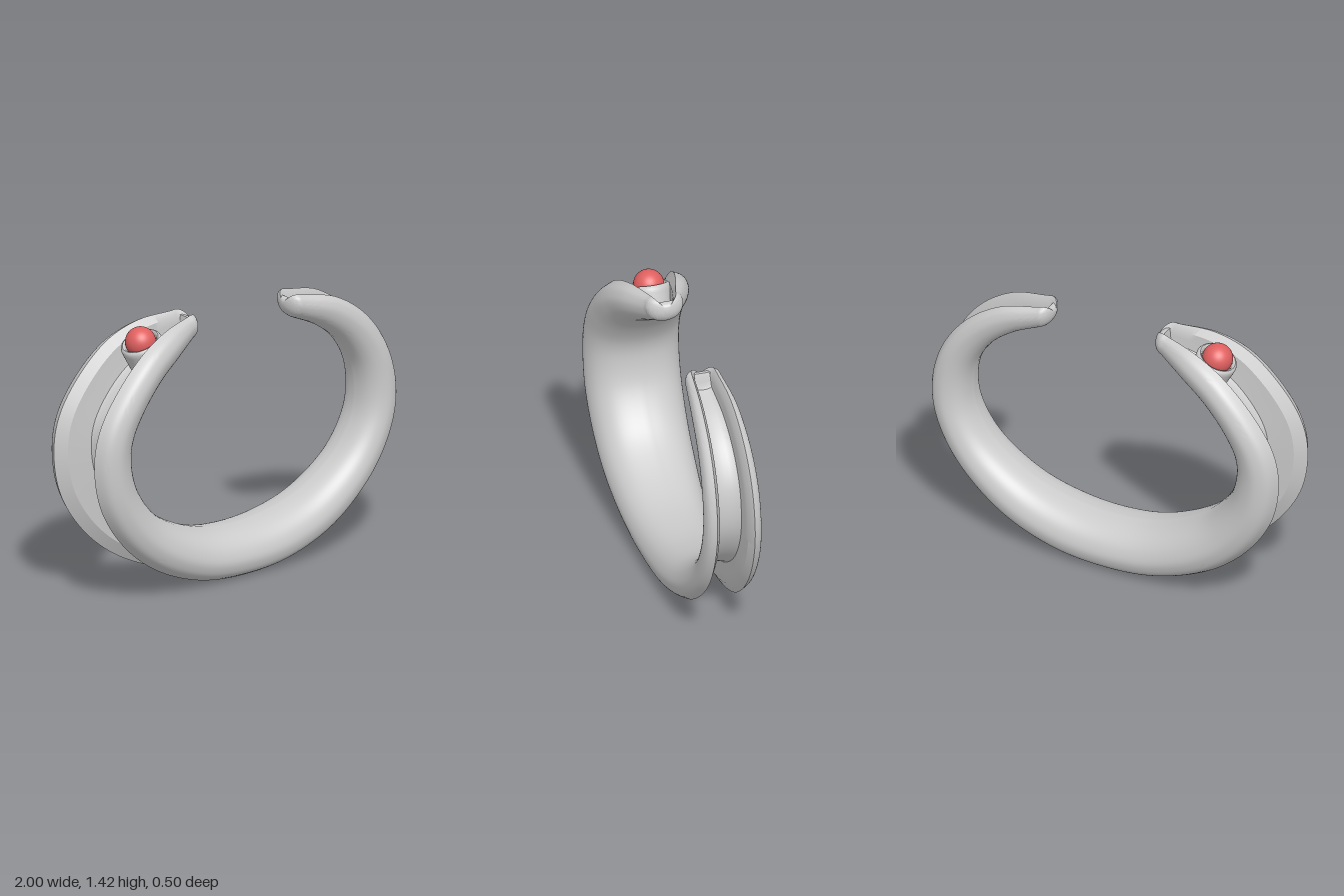
import * as THREE from 'three';
import { toCreasedNormals } from 'three/addons/utils/BufferGeometryUtils.js';

// Stations along the band: outer x, y, inner x, y, half width
const STATIONS = [
  [-0.31, 1.42, -0.28, 1.28, 0.10], [-0.50, 1.39, -0.42, 1.20, 0.18],
  [-0.67, 1.31, -0.56, 1.10, 0.225], [-0.85, 1.14, -0.66, 0.98, 0.245],
  [-0.965, 0.96, -0.715, 0.87, 0.25], [-1.00, 0.78, -0.725, 0.77, 0.25],
  [-0.96, 0.55, -0.69, 0.62, 0.25], [-0.82, 0.33, -0.57, 0.45, 0.245],
  [-0.60, 0.15, -0.41, 0.34, 0.235], [-0.30, 0.03, -0.20, 0.26, 0.215],
  [0, 0, 0, 0.24, 0.20], [0.30, 0.035, 0.22, 0.26, 0.19],
  [0.60, 0.16, 0.46, 0.335, 0.175], [0.85, 0.385, 0.68, 0.49, 0.16],
  [0.97, 0.61, 0.785, 0.65, 0.155], [1.00, 0.80, 0.81, 0.79, 0.15],
  [0.95, 1.02, 0.785, 0.94, 0.145], [0.82, 1.21, 0.695, 1.08, 0.135],
  [0.63, 1.34, 0.56, 1.185, 0.12], [0.41, 1.39, 0.41, 1.255, 0.095],
];
const STEPS = 180, CAP_STEPS = 14, CAP_LENGTH = 0.063;

// Half section as [width fraction, depth]; depth 0 is the inside of the band, 1 the rim
const shell = new THREE.SplineCurve([
  [0, 0], [0.35, 0.035], [0.65, 0.13], [0.88, 0.31], [1, 0.56], [0.97, 0.76], [0.87, 0.9], [0.66, 1],
].map(([s, d]) => new THREE.Vector2(s, d))).getPoints(26).map(p => [p.x, p.y]);

function section(floorRise) {
  const lift = d => THREE.MathUtils.lerp(d, 0.8, floorRise);
  const channel = [[0.5, 0.78], [0.48, lift(0.52)], [0.45, lift(0.27)], [0.4, lift(0.245)], [0.2, lift(0.21)], [0, lift(0.2)]];
  const half = [...shell, ...channel];
  const mirrored = half.slice(1, -1).reverse().map(([s, d]) => [-s, d]);
  return [...half, ...mirrored];
}

function bandGeometry() {
  const outer = new THREE.CatmullRomCurve3(STATIONS.map(s => new THREE.Vector3(s[0], s[1], s[4])));
  const inner = new THREE.CatmullRomCurve3(STATIONS.map(s => new THREE.Vector3(s[2], s[3], s[4])));
  const positions = [], index = [];

  // One ring of the sweep; angle > 0 rounds the ring off into an end cap
  function addRing(t, angle, direction) {
    const o = outer.getPoint(t), i = inner.getPoint(t);
    const mid = o.clone().add(i).multiplyScalar(0.5);
    const along = outer.getTangent(t).add(inner.getTangent(t)).setZ(0).normalize();
    const shrink = Math.cos(angle), push = direction * CAP_LENGTH * Math.sin(angle);
    const rise = THREE.MathUtils.smoothstep(angle, 0, 0.5);
    for (const [s, d] of section(rise)) {
      const k = (d - 0.5) * shrink;
      positions.push(
        mid.x + (o.x - i.x) * k + along.x * push,
        mid.y + (o.y - i.y) * k + along.y * push,
        s * o.z * shrink);
    }
  }
  for (let c = CAP_STEPS; c > 0; c--) addRing(0, (c / CAP_STEPS) * Math.PI / 2, -1);
  for (let n = 0; n <= STEPS; n++) addRing(n / STEPS, 0, 0);
  for (let c = 1; c <= CAP_STEPS; c++) addRing(1, (c / CAP_STEPS) * Math.PI / 2, 1);

  const count = section(0).length, rings = STEPS + 1 + 2 * CAP_STEPS;
  for (let r = 0; r < rings - 1; r++) {
    for (let j = 0; j < count; j++) {
      const next = (j + 1) % count;
      const a = r * count + j, b = r * count + next;
      index.push(a, b, a + count, b, b + count, a + count);
    }
  }
  const geometry = new THREE.BufferGeometry();
  geometry.setAttribute('position', new THREE.Float32BufferAttribute(positions, 3));
  geometry.setIndex(index);
  return toCreasedNormals(geometry, THREE.MathUtils.degToRad(27));
}

export function createModel() {
  const model = new THREE.Group();
  model.name = 'openCuff';
  const grey = new THREE.MeshStandardMaterial({ color: 0xcccccc });
  const red = new THREE.MeshStandardMaterial({ color: 0xe06060 });

  // Grooved open band
  const band = new THREE.Mesh(bandGeometry(), grey);
  band.name = 'band';
  model.add(band);

  // Bead in a cup, standing in the groove near the wide end
  const setting = new THREE.Group();
  setting.name = 'beadSetting';
  setting.position.set(-0.57, 1.32, 0);
  setting.rotation.z = 0.43;
  model.add(setting);

  const profile = [
    [0.095, -0.17], [0.108, -0.03], [0.109, -0.012], [0.104, 0], [0.096, 0.005],
    [0.088, 0.002], [0.083, -0.008], [0.08, -0.03], [0, -0.085],
  ].map(([x, y]) => new THREE.Vector2(x, y));
  const cup = new THREE.Mesh(
    toCreasedNormals(new THREE.LatheGeometry(profile, 48), THREE.MathUtils.degToRad(45)),
    new THREE.MeshStandardMaterial({ color: 0xcccccc, side: THREE.DoubleSide }));
  cup.name = 'cup';
  setting.add(cup);

  const bead = new THREE.Mesh(new THREE.SphereGeometry(0.079, 40, 28), red);
  bead.name = 'bead';
  setting.add(bead);

  return model;
}
